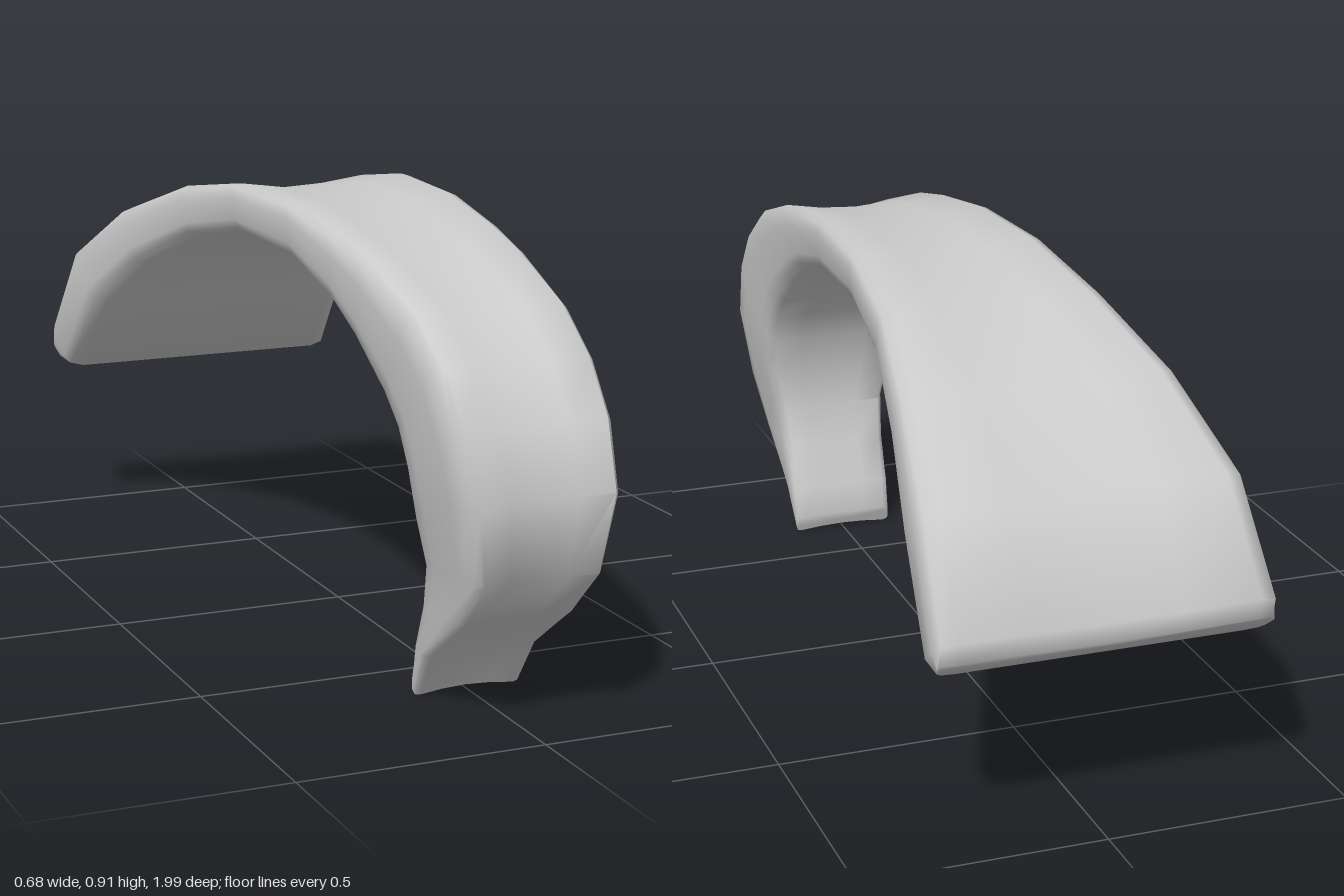
import * as THREE from 'three';
import { toCreasedNormals } from 'three/addons/utils/BufferGeometryUtils.js';

// Stations along the arch: outer z, outer y, inner z, inner y, half width
const stations = [
  [0.655, 0.0, 0.64, 0.04, 0.115],
  [0.72, 0.10, 0.66, 0.105, 0.121],
  [0.88, 0.21, 0.695, 0.20, 0.125],
  [0.975, 0.31, 0.722, 0.29, 0.135],
  [0.998, 0.47, 0.72, 0.38, 0.158],
  [0.945, 0.60, 0.70, 0.47, 0.166],
  [0.86, 0.70, 0.665, 0.54, 0.169],
  [0.74, 0.78, 0.61, 0.595, 0.172],
  [0.53, 0.85, 0.49, 0.685, 0.18],
  [0.39, 0.88, 0.38, 0.745, 0.186],
  [0.18, 0.91, 0.20, 0.80, 0.195],
  [-0.09, 0.912, -0.07, 0.812, 0.21],
  [-0.36, 0.87, -0.31, 0.765, 0.237],
  [-0.62, 0.785, -0.54, 0.67, 0.285],
  [-0.86, 0.65, -0.72, 0.55, 0.327],
  [-1.0, 0.45, -0.88, 0.365, 0.342],
  [-0.997, 0.41, -0.945, 0.365, 0.336],
];

// Half of the band section: x factor, depth from outer (0) to inner (1), sag factor
const half = [
  [0.45, 0, 0.75], [0.88, 0, 0.1], [0.97, 0.08, 0], [1, 0.3, 0],
  [0.98, 0.75, 0], [0.95, 0.92, 0], [0.86, 1, 0], [0.45, 1, 0],
];
const mirrored = half.map(([x, d, s]) => [-x, d, s]);
// Closed loop running over the outer face towards -x and back along the inner face
const section = [[0, 0, 1], ...mirrored, [0, 1, 0], ...half.slice().reverse()];

function bandGeometry() {
  const n = section.length, last = stations.length - 1;
  const pos = [], idx = [];
  for (const [oz, oy, iz, iy, w] of stations) {
    const thick = Math.hypot(iz - oz, iy - oy);
    const dip = Math.min(0.02, thick * 0.2);
    for (const [x, d, s] of section) {
      const t = d + s * dip / thick; // outer face is slightly hollow across its width
      pos.push(x * w, oy + (iy - oy) * t, oz + (iz - oz) * t);
    }
  }
  for (let i = 0; i < last; i++) {
    for (let j = 0; j < n; j++) {
      const k = (j + 1) % n;
      const a = i * n + j, b = a + n, c = i * n + k, e = c + n;
      idx.push(a, b, c, b, e, c);
    }
  }
  // End caps
  for (const [row, flip] of [[0, false], [last, true]]) {
    const [oz, oy, iz, iy] = stations[row];
    const centre = pos.length / 3;
    pos.push(0, (oy + iy) / 2, (oz + iz) / 2);
    for (let j = 0; j < n; j++) {
      const a = row * n + j, b = row * n + (j + 1) % n;
      idx.push(centre, flip ? b : a, flip ? a : b);
    }
  }
  const geo = new THREE.BufferGeometry();
  geo.setAttribute('position', new THREE.Float32BufferAttribute(pos, 3));
  geo.setIndex(idx);
  return toCreasedNormals(geo, 1.1);
}

export function createModel() {
  const group = new THREE.Group();
  group.name = 'archedBand';
  const band = new THREE.Mesh(bandGeometry(), new THREE.MeshStandardMaterial({ color: 0xcccccc }));
  band.name = 'band';
  group.add(band);
  return group;
}
